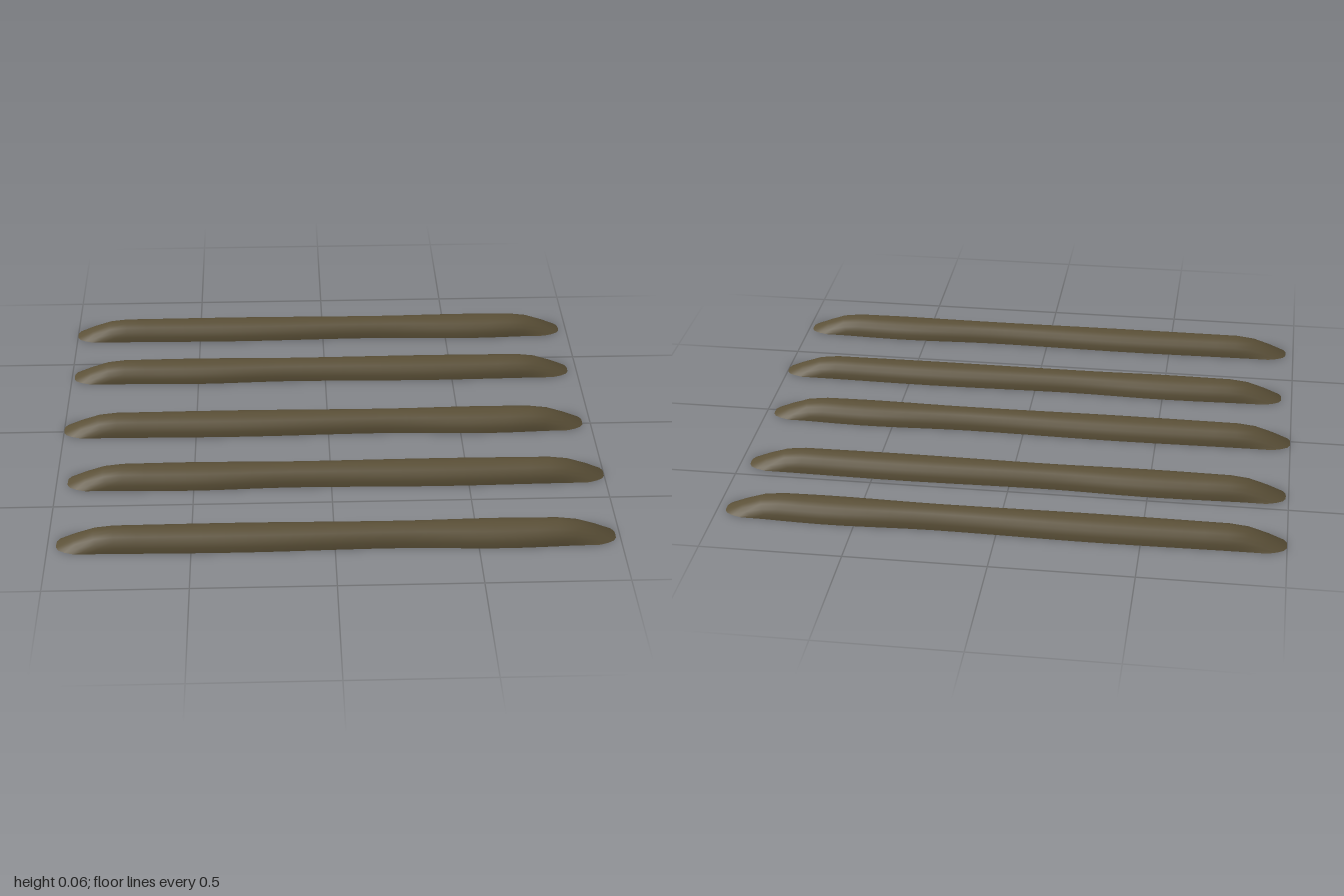
import * as THREE from 'three';

const HEIGHT = 0.064;
const ARC = 10; // segments across each half-round log

// Eased interpolation through [position, value] pairs
function ease(points, x) {
  if (x <= points[0][0]) return points[0][1];
  for (let i = 1; i < points.length; i++) {
    const [x1, v1] = points[i];
    if (x <= x1) {
      const [x0, v0] = points[i - 1];
      return THREE.MathUtils.lerp(v0, v1, THREE.MathUtils.smoothstep(x, x0, x1));
    }
  }
  return points[points.length - 1][1];
}

// Half-round open shell whose ends slope to the ground with a rounded outline
function logGeometry(x0, x1, widths) {
  const taper = [[0, 0], [0.06, 0.45], [0.13, 0.86], [0.2, 1]]; // distance from tip, height
  const rings = taper.map(([d, h]) => [x0 + d, h, d]);
  for (let i = 1; i < 20; i++) rings.push([THREE.MathUtils.lerp(x0 + 0.2, x1 - 0.2, i / 20), 1, 1]);
  for (const [d, h] of [...taper].reverse()) rings.push([x1 - d, h, d]);

  const positions = [], indices = [];
  rings.forEach(([x, h, d], i) => {
    const inward = i < rings.length / 2 ? 1 : -1;
    const pull = 0.068 * Math.max(0, 1 - d / 0.2) * inward;
    const half = ease(widths, x);
    for (let j = 0; j <= ARC; j++) {
      const t = (Math.PI * j) / ARC;
      const c = Math.cos(t);
      positions.push(x + pull * Math.pow(Math.abs(c), 3.5), HEIGHT * h * Math.sin(t), half * c);
      if (i && j) {
        const b = i * (ARC + 1) + j, a = b - ARC - 1;
        indices.push(a - 1, b - 1, b, a - 1, b, a);
      }
    }
  });
  const geometry = new THREE.BufferGeometry();
  geometry.setAttribute('position', new THREE.Float32BufferAttribute(positions, 3));
  geometry.setIndex(indices);
  geometry.computeVertexNormals();
  return geometry;
}

export function createModel() {
  const model = new THREE.Group();
  model.name = 'logRow';
  const wood = new THREE.MeshStandardMaterial({ color: 0x5c5138, side: THREE.DoubleSide });
  wood.name = 'darkWood';

  // Gentle swelling along the logs: half width at each position
  const swellLeft = [[-0.9, 0.061], [-0.35, 0.067], [0.21, 0.058], [0.6, 0.07], [0.9, 0.061]];
  const swellRight = [[-0.9, 0.061], [-0.5, 0.069], [-0.14, 0.059], [0.42, 0.067], [0.9, 0.061]];

  // z, start x, end x, swelling
  const logs = [
    [-0.735, -1, 0.97, swellLeft],
    [-0.405, -0.99, 0.965, swellRight],
    [-0.012, -1, 0.97, swellLeft],
    [0.343, -0.96, 1, swellRight],
    [0.732, -0.97, 0.985, swellLeft],
  ];
  logs.forEach(([z, x0, x1, widths], i) => {
    const log = new THREE.Mesh(logGeometry(x0, x1, widths), wood);
    log.name = `log${i + 1}`;
    log.position.z = z;
    model.add(log);
  });
  return model;
}
